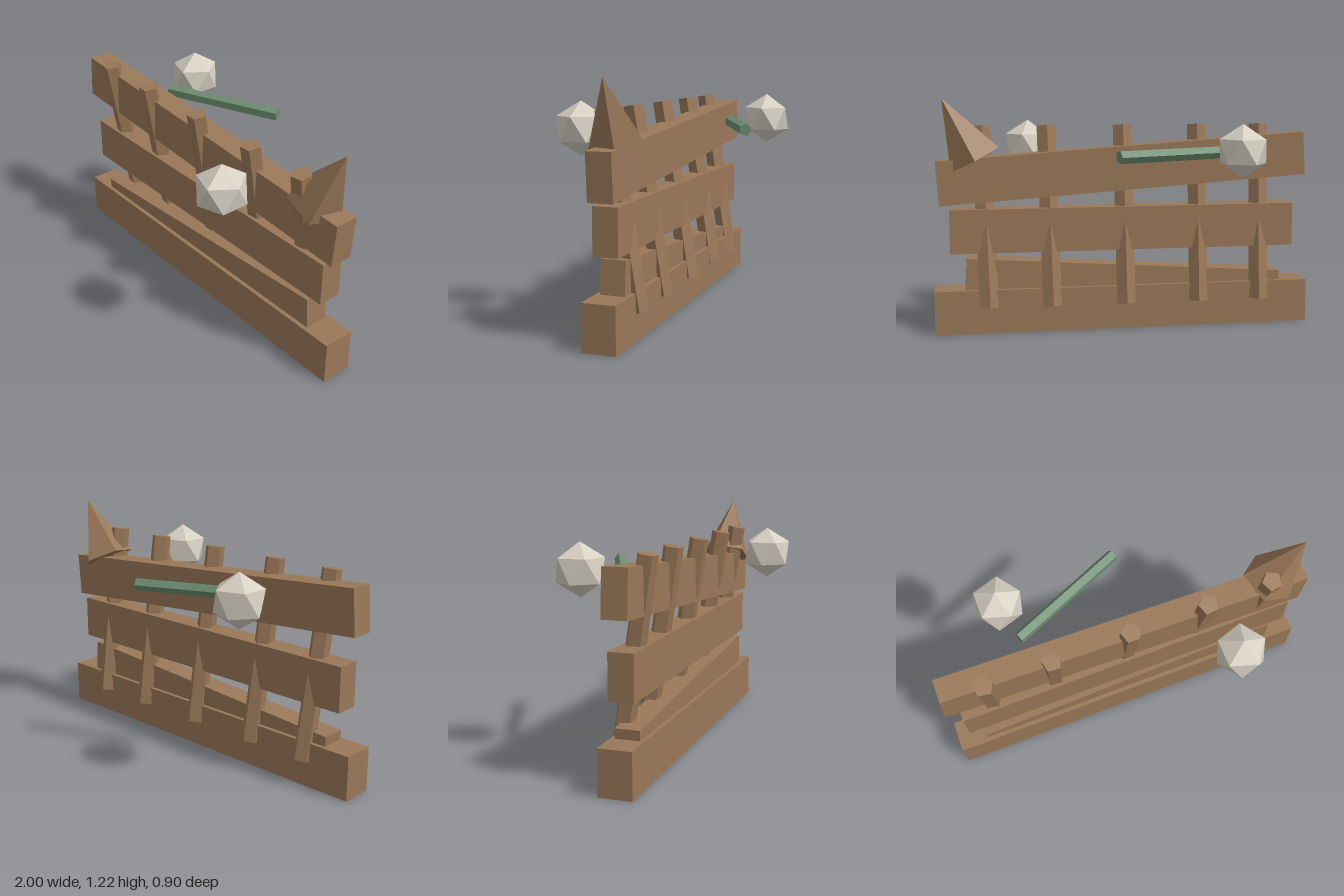
import * as THREE from 'three';

const material = (name, color) => {
  const m = new THREE.MeshStandardMaterial({ color, flatShading: true });
  m.name = name;
  return m;
};

export function createModel() {
  const wood = material('wood', 0x9a7858);
  const stone = material('pale stone', 0xd6d0c2);
  const green = material('green', 0x6c8c70);
  const model = new THREE.Group();
  model.name = 'barricade';

  const add = (name, geometry, mat, x, y, z) => {
    const mesh = new THREE.Mesh(geometry, mat);
    mesh.name = name;
    mesh.position.set(x, y, z);
    model.add(mesh);
    return mesh;
  };
  // Five-sided bar or spike with one corner towards the back
  const prism = (top, bottom, height) =>
    new THREE.CylinderGeometry(top, bottom, height, 5, 1, false, Math.PI);

  // Stacked planks: length, height, depth, centre x, centre y, tilt
  const planks = [
    ['basePlank', 2, 0.23, 0.168, 0, 0.115, 0],
    ['lowerPlank', 1.685, 0.23, 0.124, -0.002, 0.223, 0.0685],
    ['middlePlank', 1.835, 0.23, 0.124, -0.002, 0.536, 0],
    ['topPlank', 1.955, 0.23, 0.124, -0.003, 0.854, -0.069],
  ];
  for (const [name, w, h, d, x, y, tilt] of planks) {
    add(name, new THREE.BoxGeometry(w, h, d), wood, x, y, 0.022).rotation.z = tilt;
  }

  // Leaning stakes, fanned slightly outwards
  [-0.74, -0.4, 0, 0.4, 0.735].forEach((x, i) => {
    const stake = add(`stake${i + 1}`, prism(0.052, 0.052, 0.95), wood, x, 0.603, 0.016);
    stake.rotation.order = 'YXZ';
    stake.rotation.set(0.16, x * 0.22, 0);
  });

  // Spike on the top corner
  const spike = prism(0, 0.145, 0.352);
  add('spike', spike, wood, 0.86, 1.064, 0.015).rotation.z = -0.476;

  // Faceted stones, one corner pointing up
  for (const s of [1, -1]) {
    const rock = new THREE.IcosahedronGeometry(0.1365, 0);
    rock.rotateZ(-Math.atan(2 / (1 + Math.sqrt(5))));
    add(s > 0 ? 'frontStone' : 'backStone', rock, stone, s > 0 ? 0.485 : -0.548, 0.958, s * 0.336);
  }

  // Level green rod behind the planks
  const rod = prism(0.033, 0.033, 0.651).rotateZ(Math.PI / 2).rotateY(0.407);
  add('rod', rod, green, -0.211, 0.939, -0.259);

  return model;
}
